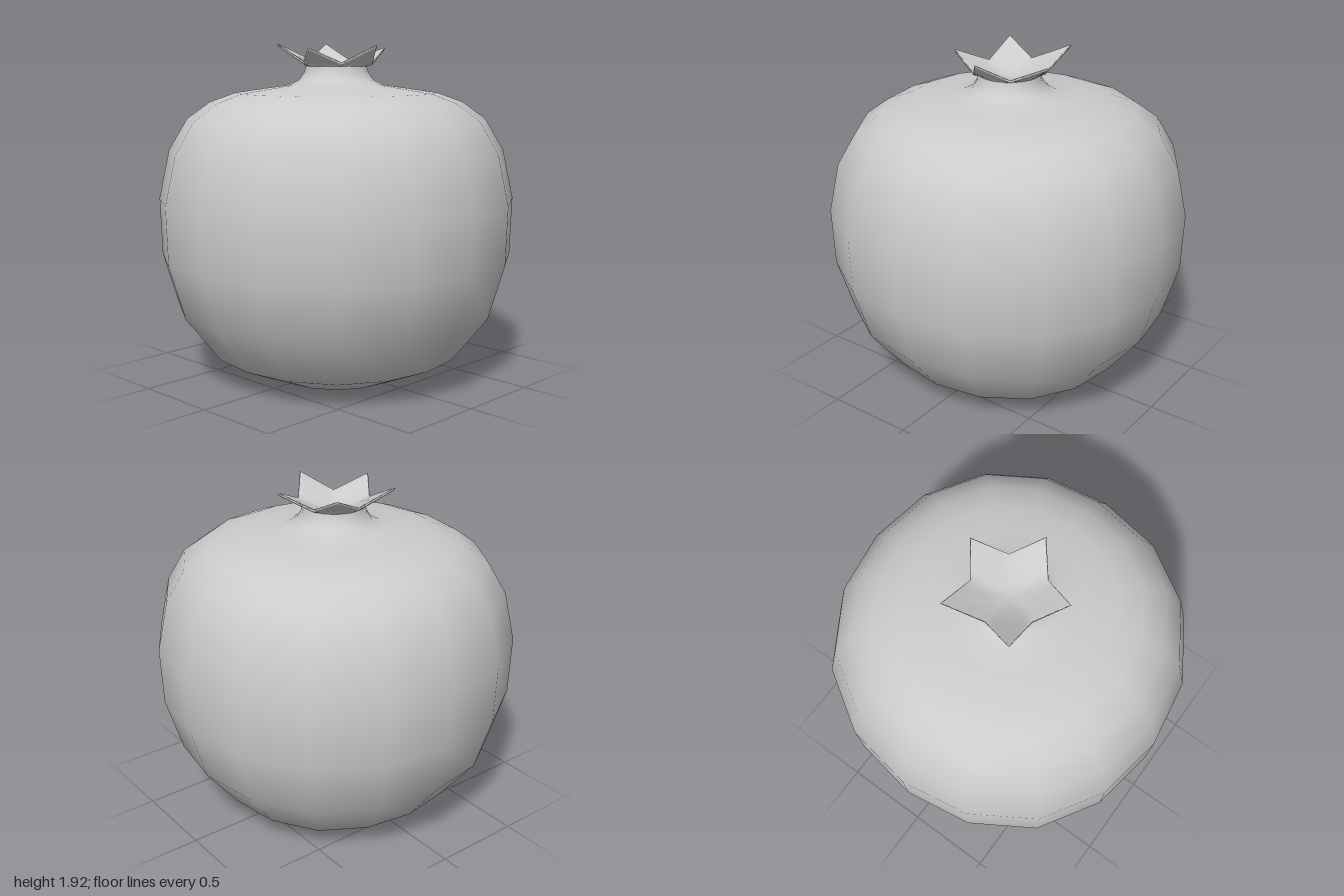
import * as THREE from 'three';

const material = new THREE.MeshStandardMaterial({ color: 0xcccccc, side: THREE.DoubleSide });

// Round fruit with a slightly squared cross-section, drawn up into a neck
function makeBody() {
  const profile = [
    [0, 0.015], [0.38, 0.003], [0.7, 0.14], [0.9, 0.4], [0.99, 0.71], [1, 1.04], [0.94, 1.32],
    [0.835, 1.5], [0.705, 1.595], [0.565, 1.647], [0.4, 1.672], [0.26, 1.692], [0.205, 1.722],
    [0.178, 1.765], [0.17, 1.8],
  ].map(([r, y]) => new THREE.Vector2(r, y));
  const geometry = new THREE.LatheGeometry(profile, 16);
  const p = geometry.attributes.position;
  for (let i = 0; i < p.count; i++) {
    const angle = Math.atan2(p.getX(i), p.getZ(i));
    const k = 1 + 0.014 * (1 - Math.cos(4 * angle));
    p.setX(i, p.getX(i) * k);
    p.setZ(i, p.getZ(i) * k);
  }
  const mesh = new THREE.Mesh(geometry, material);
  mesh.name = 'fruitBody';
  return mesh;
}

// Five-pointed calyx: loops pass from the round neck to the star rim, then into the bowl
function makeCrown() {
  // Tips and valleys in turn, counter-clockwise from the front: x, y, z
  const corners = [
    [0, 1.915, 0.315], [0.125, 1.815, 0.165], [0.315, 1.9, 0.09], [0.195, 1.82, -0.07],
    [0.21, 1.925, -0.295], [0, 1.83, -0.215], [-0.2, 1.922, -0.278], [-0.195, 1.82, -0.07],
    [-0.315, 1.9, 0.09], [-0.125, 1.815, 0.165],
  ].map((c) => new THREE.Vector3(...c));
  const steps = 4;
  const count = corners.length * steps;
  const rim = [];
  for (let i = 0; i < count; i++) {
    const c = Math.floor(i / steps);
    rim.push(corners[c].clone().lerp(corners[(c + 1) % corners.length], (i % steps) / steps));
  }

  // Each loop: circle radius, circle height, blend towards the rim, lift
  const loops = [
    [0.172, 1.765, 0, 0], [0.165, 1.795, 0, 0], [0.165, 1.805, 0.45, -0.01],
    [0.165, 1.81, 0.96, -0.01], [0.165, 1.81, 1, 0], [0.16, 1.815, 0.95, 0.006],
    [0.13, 1.802, 0.5, 0], [0.095, 1.79, 0.1, 0], [0.05, 1.78, 0, 0], [0, 1.777, 0, 0],
  ];
  const positions = [];
  const index = [];
  for (const [r, y, blend, lift] of loops) {
    for (const v of rim) {
      const angle = Math.atan2(v.x, v.z);
      const q = new THREE.Vector3(r * Math.sin(angle), y, r * Math.cos(angle)).lerp(v, blend);
      positions.push(q.x, q.y + lift, q.z);
    }
  }
  for (let l = 0; l < loops.length - 1; l++) {
    for (let i = 0; i < count; i++) {
      const a = l * count + i;
      const b = l * count + ((i + 1) % count);
      index.push(a, b, b + count);
      if (l < loops.length - 2) index.push(a, b + count, a + count);
    }
  }
  const geometry = new THREE.BufferGeometry();
  geometry.setAttribute('position', new THREE.Float32BufferAttribute(positions, 3));
  geometry.setIndex(index);
  geometry.computeVertexNormals();
  const mesh = new THREE.Mesh(geometry, material);
  mesh.name = 'crown';
  return mesh;
}

export function createModel() {
  const group = new THREE.Group();
  group.name = 'pomegranate';
  group.add(makeBody(), makeCrown());
  return group;
}
